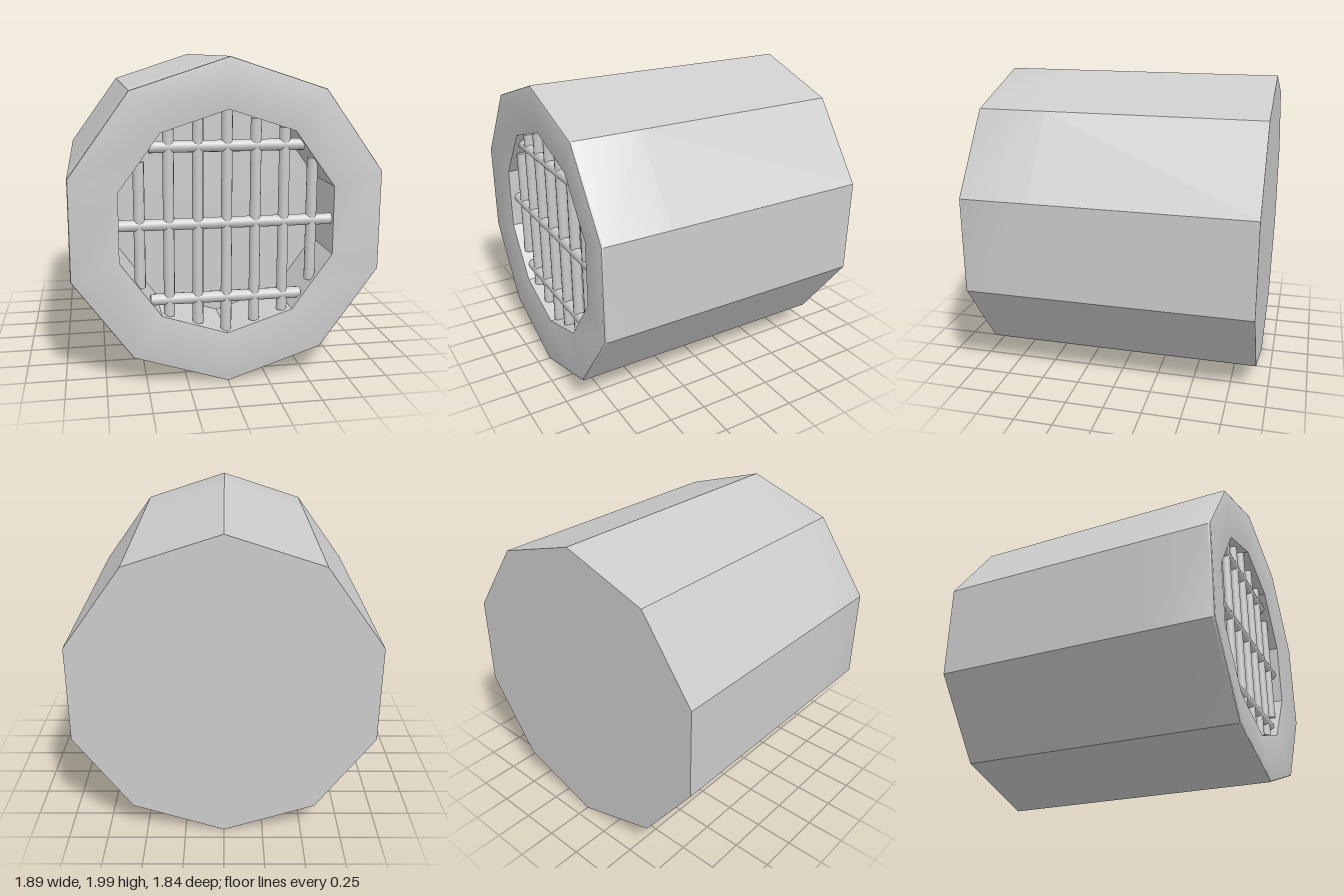
import * as THREE from 'three';
import { toCreasedNormals } from 'three/addons/utils/BufferGeometryUtils.js';

const SIDES = 10, R = 0.995, INNER = 0.69, CY = 1.005;
const BACK = -0.92, SEAM = 0.47, FRONT = 0.918, GRILLE_Z = 0.82;

// Distance from the centre to the opening's edge along a bar at the given offset
function reach(offset, vertical) {
  const apothem = INNER * Math.cos(Math.PI / SIDES);
  let best = Infinity;
  for (let k = 0; k < SIDES; k++) {
    const a = ((k + 0.5) * 2 * Math.PI) / SIDES;
    const nx = Math.sin(a), ny = Math.cos(a);
    const along = vertical ? ny : nx, across = vertical ? nx : ny;
    if (along > 0.01) best = Math.min(best, (apothem - offset * across) / along);
  }
  return best;
}

export function createModel() {
  const model = new THREE.Group();
  model.name = 'grilledDrum';
  const grey = new THREE.MeshStandardMaterial({ color: 0xcccccc });
  grey.name = 'light grey';

  const add = (name, geometry, parent = model) => {
    const mesh = new THREE.Mesh(geometry, grey);
    mesh.name = name;
    parent.add(mesh);
    return mesh;
  };

  // Closed ten-sided body; its front cap is the floor of the recess
  const body = new THREE.CylinderGeometry(R, R, SEAM - BACK, SIDES);
  body.rotateX(Math.PI / 2);
  add('body', toCreasedNormals(body, 0.5)).position.set(0, CY, (SEAM + BACK) / 2);

  // Front rim: rounded outer edge, face dished slightly inward, straight bore
  const profile = [
    [R, SEAM], [R, 0.904], [R - 0.004, 0.914], [R - 0.014, FRONT],
    [INNER, 0.885], [INNER, SEAM],
  ].map(([r, z]) => new THREE.Vector2(r, z));
  const rim = new THREE.LatheGeometry(profile, SIDES);
  rim.rotateX(Math.PI / 2);
  add('frontRim', toCreasedNormals(rim, 0.6)).position.y = CY;

  // Grille of crossing round bars, cut to the opening
  const grille = new THREE.Group();
  grille.name = 'grille';
  grille.position.set(0, CY, GRILLE_Z);
  model.add(grille);

  for (let i = -3; i <= 3; i++) {
    const x = i * 0.177;
    const bar = new THREE.CylinderGeometry(0.034, 0.034, 2 * reach(Math.abs(x), true), 12);
    add('verticalBar', bar, grille).position.x = x;
  }
  for (let j = -1; j <= 1; j++) {
    const y = j * 0.47;
    const bar = new THREE.CylinderGeometry(0.036, 0.036, 2 * reach(Math.abs(y), false), 12);
    bar.rotateZ(Math.PI / 2);
    add('horizontalBar', bar, grille).position.y = y;
  }
  return model;
}
